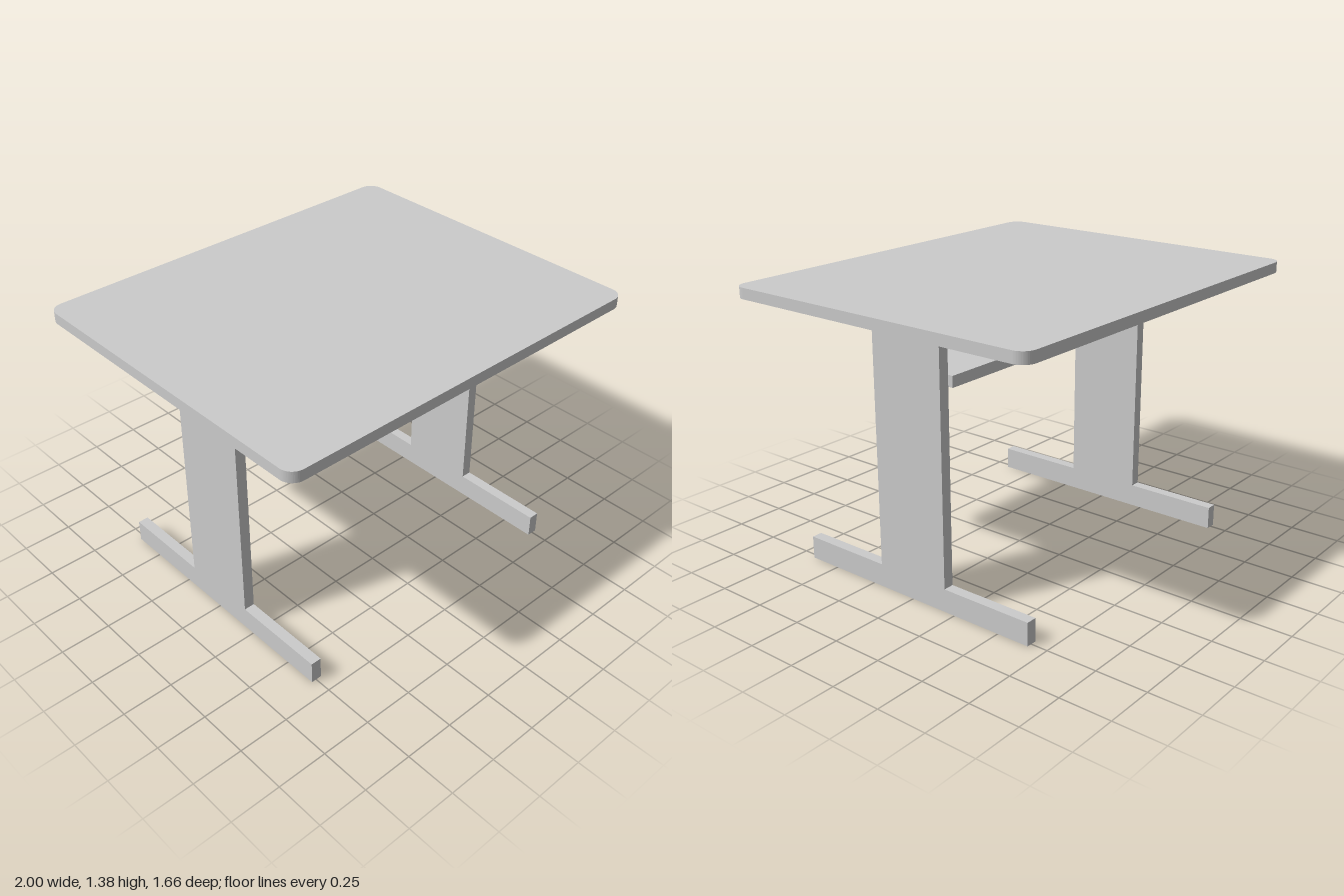
import * as THREE from 'three';

const material = new THREE.MeshStandardMaterial({ color: 0xcccccc, flatShading: true });

function addPart(group, name, geometry) {
  const mesh = new THREE.Mesh(geometry, material);
  mesh.name = name;
  group.add(mesh);
  return mesh;
}

// Rectangle with rounded corners, centred on the origin
function roundedRect(halfW, halfD, r) {
  const s = new THREE.Shape();
  s.absarc(halfW - r, halfD - r, r, 0, Math.PI / 2);
  s.absarc(-halfW + r, halfD - r, r, Math.PI / 2, Math.PI);
  s.absarc(-halfW + r, -halfD + r, r, Math.PI, Math.PI * 1.5);
  s.absarc(halfW - r, -halfD + r, r, Math.PI * 1.5, Math.PI * 2);
  s.closePath();
  return s;
}

export function createModel() {
  const group = new THREE.Group();
  group.name = 'table';

  // Table top with rounded corners
  const topGeo = new THREE.ExtrudeGeometry(roundedRect(1, 0.83, 0.065), {
    depth: 0.053, bevelEnabled: false, curveSegments: 8,
  });
  topGeo.rotateX(-Math.PI / 2);
  addPart(group, 'tableTop', topGeo).position.y = 1.325;

  // Inverted T legs: wide upright panel on a long foot
  const post = 0.195, foot = 0.665, footH = 0.113, legH = 1.325, thick = 0.053;
  const profile = new THREE.Shape([
    [-foot, 0], [foot, 0], [foot, footH], [post, footH],
    [post, legH], [-post, legH], [-post, footH], [-foot, footH],
  ].map(([z, y]) => new THREE.Vector2(z, y)));
  const legGeo = new THREE.ExtrudeGeometry(profile, { depth: thick, bevelEnabled: false });
  legGeo.translate(0, 0, -thick / 2);
  legGeo.rotateY(Math.PI / 2);
  for (const [name, side] of [['leftLeg', 1], ['rightLeg', -1]]) {
    addPart(group, name, legGeo).position.x = side * 0.748;
  }

  // Shelf spanning the legs under the top
  addPart(group, 'shelf', new THREE.BoxGeometry(1.443, 0.053, 0.44)).position.y = 1.072;

  return group;
}
